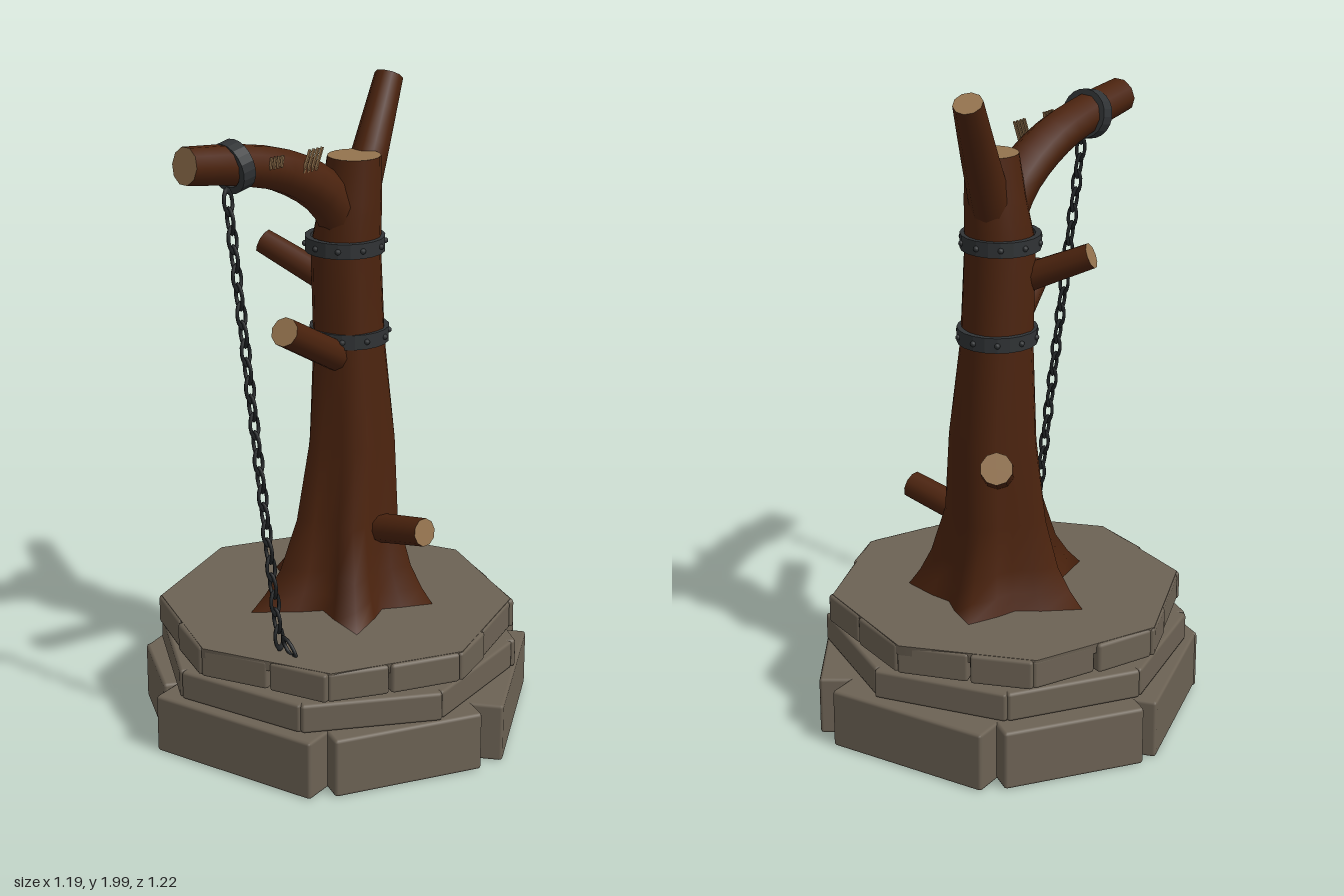
import * as THREE from 'three';
import { RoundedBoxGeometry } from 'three/addons/geometries/RoundedBoxGeometry.js';

const mat = (name, color, extra = {}) => Object.assign(new THREE.MeshStandardMaterial({ color, ...extra }), { name });
const V = (x, y, z) => new THREE.Vector3(x, y, z);

export function createModel() {
  const bark = mat('bark', 0x4b230e);
  const cut = mat('cutWood', 0x94734e, { side: THREE.DoubleSide });
  const stone = mat('stone', 0x6c6254);
  const iron = mat('iron', 0x303335);
  const chainMetal = mat('chainMetal', 0x1f2224);

  const model = new THREE.Group();
  const add = (name, geo, material, parent = model) => {
    const m = new THREE.Mesh(geo, material);
    m.name = name;
    parent.add(m);
    return m;
  };
  const group = (name) => {
    const g = new THREE.Group();
    g.name = name;
    model.add(g);
    return g;
  };
  let seed = 7;
  const rand = () => (seed = (seed * 16807) % 2147483647) / 2147483647;

  // Stone block whose outer face runs from a to b, seen from above
  const block = (parent, [ax, az], [bx, bz], y0, y1, depth) => {
    const dx = bx - ax, dz = bz - az, len = Math.hypot(dx, dz);
    const mx = (ax + bx) / 2, mz = (az + bz) / 2;
    let nx = -dz / len, nz = dx / len;
    if (nx * mx + nz * mz > 0) { nx = -nx; nz = -nz; }
    const m = add('stoneBlock', new RoundedBoxGeometry(len, y1 - y0, depth, 1, 0.01), stone, parent);
    m.position.set(mx + nx * depth / 2, (y0 + y1) / 2, mz + nz * depth / 2);
    m.rotation.y = -Math.atan2(dz, dx);
  };

  // Bottom course: seven uneven large blocks
  const lower = group('lowerCourse');
  [
    [-0.39, -0.46, 0.09, -0.615], [0.14, -0.605, 0.51, -0.36], [0.56, -0.31, 0.595, 0.22],
    [0.56, 0.3, 0.11, 0.615], [0.03, 0.605, -0.41, 0.43], [-0.475, 0.39, -0.6, -0.16],
    [-0.535, -0.2, -0.385, -0.47],
  ].forEach(([a, b, c, d]) => block(lower, [a, b], [c, d], 0, 0.185, 0.13));

  // Two upper courses of thinner blocks following an octagon
  const course = (name, y0, y1, r, turn, cuts) => {
    const g = group(name);
    for (let i = 0; i < 8; i++) {
      const corner = (k) => [r * Math.cos(turn + k * Math.PI / 4), r * Math.sin(turn + k * Math.PI / 4)];
      const a = corner(i), b = corner(i + 1);
      const at = (t, out) => [0, 1].map((k) => (a[k] + (b[k] - a[k]) * t) * out);
      const stops = [0, ...cuts.map((c) => c + (rand() - 0.5) * 0.25), 1];
      for (let s = 0; s < stops.length - 1; s++) {
        block(g, at(stops[s] + 0.008, 0.99 + rand() * 0.03), at(stops[s + 1] - 0.008, 0.99 + rand() * 0.03), y0, y1, 0.1);
      }
    }
  };
  course('middleCourse', 0.187, 0.278, 0.56, 0.16, []);
  course('upperCourse', 0.286, 0.378, 0.55, 0.02, [0.5]);
  const floor = add('platformFloor', new THREE.CylinderGeometry(0.545, 0.545, 0.03, 8), stone);
  floor.position.y = 0.364;
  floor.rotation.y = Math.PI / 2;

  // Trunk: rings of ridges and valleys that flare into five roots
  const roots = [[-18, 0.27], [64, 0.28], [130, 0.33], [196, 0.35], [263, 0.31]]; // angle, reach
  const rings = [ // y, centre x, centre z, radius, root strength
    [0.37, 0.06, 0, 0.17, 1], [0.43, 0.06, 0, 0.153, 0.77], [0.5, 0.06, 0, 0.14, 0.56],
    [0.65, 0.066, -0.01, 0.13, 0.28], [0.9, 0.08, -0.01, 0.125, 0.12], [1.2, 0.075, -0.02, 0.107, 0.05],
    [1.5, 0.06, -0.02, 0.105, 0.02], [1.64, 0.073, -0.01, 0.092, 0], [1.775, 0.078, -0.003, 0.08, 0],
  ];
  const pts = [], idx = [], N = 20;
  rings.forEach(([y, cx, cz, r, f]) => roots.forEach(([ang, reach], k) => {
    const [nextAng, nextReach] = roots[(k + 1) % 5];
    const span = (nextAng - ang + 360) % 360;
    for (let q = 0; q < 4; q++) {
      const t = q / 4, w = Math.abs(1 - 2 * t) ** 1.6;
      const rr = r + f * w * ((t < 0.5 ? reach : nextReach) - 0.17);
      const a = THREE.MathUtils.degToRad(ang + span * t);
      pts.push(cx + rr * Math.cos(a), y, cz + rr * Math.sin(a));
    }
  }));
  for (let i = 0; i < rings.length - 1; i++) {
    for (let j = 0; j < N; j++) {
      const p = i * N + j, q = i * N + (j + 1) % N;
      idx.push(p, p + N, q, q, p + N, q + N);
    }
  }
  const trunkGeo = new THREE.BufferGeometry();
  trunkGeo.setAttribute('position', new THREE.Float32BufferAttribute(pts, 3));
  trunkGeo.setIndex(idx);
  trunkGeo.computeVertexNormals();
  add('trunk', trunkGeo, bark);
  const top = add('trunkTop', new THREE.CircleGeometry(0.08, N), cut);
  top.rotation.x = -Math.PI / 2;
  top.position.set(0.078, 1.775, -0.003);

  // Tapered branch along a curve, closed by a sawn end
  const branch = (name, path, r0, r1, steps = 4) => {
    const g = group(name), sides = 10;
    const curve = new THREE.CatmullRomCurve3(path);
    const geo = new THREE.TubeGeometry(curve, steps, 1, sides);
    const pos = geo.attributes.position, v = V(0, 0, 0);
    const fan = [];
    for (let i = 0; i <= steps; i++) {
      const c = curve.getPointAt(i / steps);
      for (let j = 0; j <= sides; j++) {
        const n = i * (sides + 1) + j;
        v.fromBufferAttribute(pos, n).sub(c).multiplyScalar(r0 + (r1 - r0) * i / steps).add(c);
        pos.setXYZ(n, v.x, v.y, v.z);
        if (i === steps) fan.push(v.clone());
      }
    }
    add('branchBark', geo, bark, g);
    const end = curve.getPointAt(1), tri = [];
    for (let j = 0; j < sides; j++) tri.push(end, fan[j], fan[j + 1]);
    const cap = new THREE.BufferGeometry().setFromPoints(tri);
    cap.computeVertexNormals();
    add('sawnEnd', cap, cut, g);
  };
  branch('hangingBranch', [V(0.07, 1.54, -0.01), V(-0.02, 1.67, -0.02), V(-0.18, 1.765, -0.03),
    V(-0.36, 1.81, -0.035), V(-0.54, 1.835, -0.04)], 0.075, 0.055, 12);
  branch('upperBranch', [V(0.09, 1.58, -0.02), V(0.175, 1.75, -0.04), V(0.302, 1.97, -0.085)], 0.065, 0.044);
  branch('rightStump', [V(0.03, 1.155, 0), V(-0.28, 1.325, 0.08)], 0.047, 0.044, 1);
  branch('leftStump', [V(0.1, 0.79, -0.04), V(0.335, 0.92, -0.205)], 0.052, 0.048, 1);
  branch('frontStump', [V(0.08, 0.61, 0.05), V(0.08, 0.665, 0.305)], 0.046, 0.043, 1);
  branch('backStump', [V(0.04, 1.38, -0.05), V(-0.04, 1.482, -0.275)], 0.045, 0.039, 1);

  // Iron bands with rivets
  const band = (name, r, thick, h, rivets) => {
    const g = group(name);
    const profile = [[r - thick, -h / 2], [r, -h / 2], [r, h / 2], [r - thick, h / 2], [r - thick, -h / 2]]
      .map(([x, y]) => new THREE.Vector2(x, y));
    const geo = new THREE.LatheGeometry(profile, 20).toNonIndexed();
    geo.computeVertexNormals();
    add('ironHoop', geo, iron, g);
    for (let i = 0; i < rivets; i++) {
      const a = i / rivets * Math.PI * 2;
      add('rivet', new THREE.SphereGeometry(0.009, 8, 6), iron, g).position.set(r * Math.cos(a), 0, r * Math.sin(a));
    }
    return g;
  };
  band('lowerBand', 0.121, 0.018, 0.046, 10).position.set(0.078, 1.227, -0.022);
  band('upperBand', 0.121, 0.018, 0.046, 10).position.set(0.058, 1.511, -0.02);
  const collar = band('branchCollar', 0.075, 0.02, 0.045, 0);
  collar.position.set(-0.37, 1.808, -0.035);
  collar.rotation.z = -Math.PI / 2 + 0.2;

  // Chain of alternating oval links, the last one lying outward
  const chain = group('chain');
  const linkGeo = new THREE.TorusGeometry(0.017, 0.0055, 6, 12).scale(1, 1.95, 1);
  const from = V(-0.443, 1.73, 0.03), to = V(-0.388, 0.42, 0.165), links = 25;
  const hang = new THREE.Quaternion().setFromUnitVectors(V(0, -1, 0), to.clone().sub(from).normalize());
  for (let i = 0; i < links; i++) {
    const link = add('chainLink', linkGeo, chainMetal, chain);
    link.position.lerpVectors(from, to, i / (links - 1));
    link.quaternion.copy(hang);
    link.rotateY(i % 2 ? 1.4 : 0.1);
  }
  const last = add('endLink', linkGeo, chainMetal, chain);
  last.position.set(-0.382, 0.398, 0.203);
  last.rotation.set(-0.85, 1.4, 0, 'XYZ');

  // Tally scratches on the hanging branch
  const scratches = group('scratches');
  const scratch = (x, y, h, tilt) => {
    const s = add('scratch', new THREE.BoxGeometry(0.005, h, 0.009), cut, scratches);
    s.position.set(x, y, 0.03);
    s.rotation.z = tilt;
  };
  for (let i = 0; i < 4; i++) {
    scratch(-0.143 + i * 0.016, 1.797, 0.07, -0.4);
    scratch(-0.28 + i * 0.014, 1.812, 0.035, -0.2);
  }
  return model;
}
